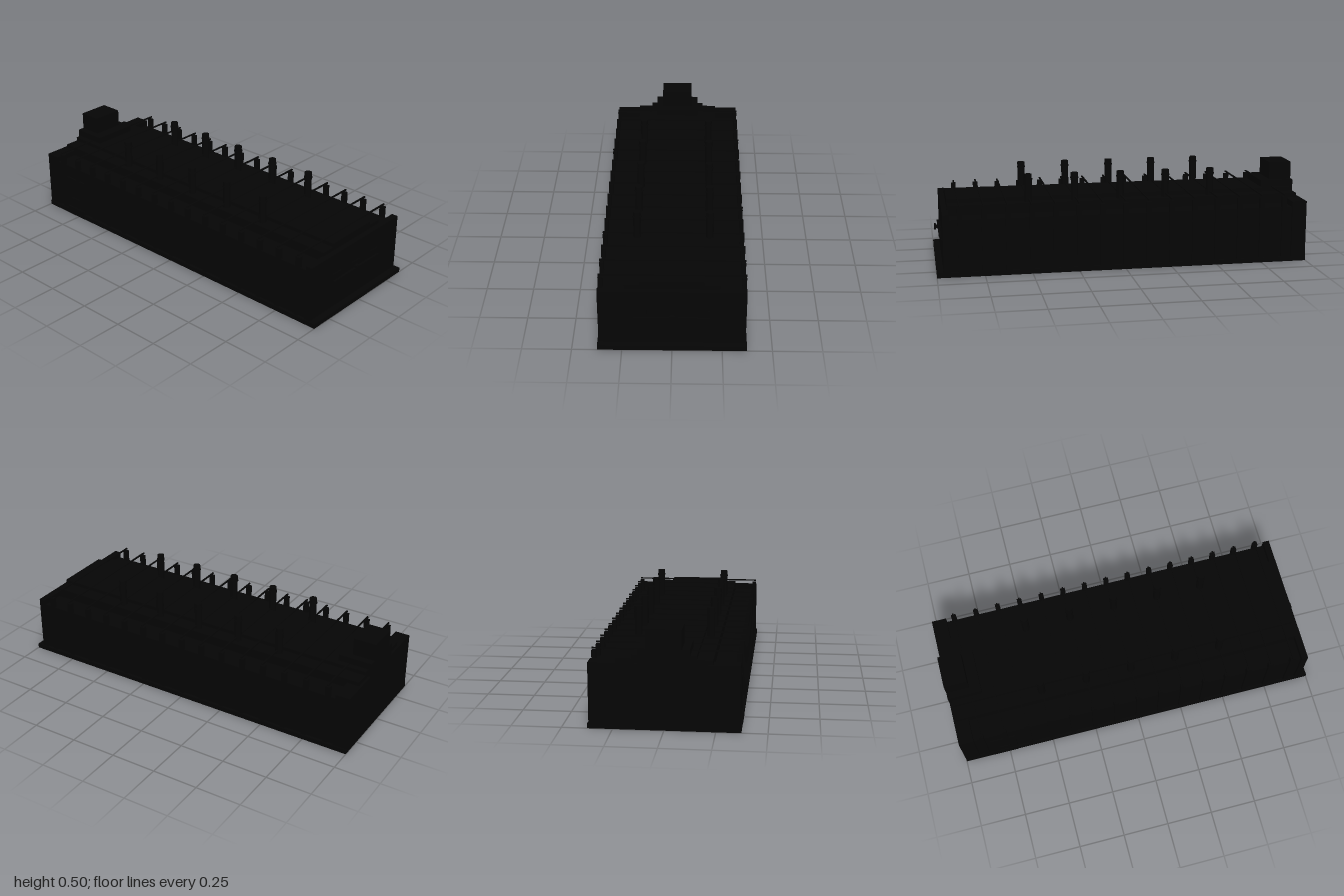
import * as THREE from 'three';

export function createModel() {
  const model = new THREE.Group();
  const black = new THREE.MeshStandardMaterial({ color: 0x050505 });
  black.name = 'black';

  // Box given by its limits on each axis
  const box = (name, x0, x1, y0, y1, z0, z1) => {
    const m = new THREE.Mesh(new THREE.BoxGeometry(x1 - x0, y1 - y0, z1 - z0), black);
    m.position.set((x0 + x1) / 2, (y0 + y1) / 2, (z0 + z1) / 2);
    m.name = name;
    model.add(m);
    return m;
  };
  const cylinder = (name, r, y0, y1, x, z) => {
    const m = new THREE.Mesh(new THREE.CylinderGeometry(r, r, y1 - y0, 16), black);
    m.position.set(x, (y0 + y1) / 2, z);
    m.name = name;
    model.add(m);
  };

  // Base slab, hall and end walls
  box('baseSlab', -1, 1, 0, 0.025, -0.373, 0.373);
  box('hall', -0.995, 0.955, 0.025, 0.3, -0.357, 0.357);
  box('rightEndWall', 0.93, 0.965, 0.025, 0.33, -0.367, 0.367);
  box('leftEndWall', -1, -0.92, 0.025, 0.33, -0.367, 0.367);

  // Stepped roof
  box('lowerRoof', -0.985, 0.935, 0.3, 0.35, -0.235, 0.235);
  box('upperRoof', -0.985, 0.935, 0.35, 0.37, -0.157, 0.157);

  // Stepped tower at one end
  box('towerBase', -1, -0.815, 0.3, 0.405, -0.125, 0.125);
  box('tower', -1, -0.875, 0.405, 0.5, -0.087, 0.087);

  // Buttresses along both sides, with a tie rod over each pair
  for (let i = -7; i <= 7; i++) {
    const x = i * 0.125;
    for (const s of [-1, 1]) {
      const z = s * 0.356;
      box('buttress', x - 0.013, x + 0.013, 0.025, 0.36, z - 0.011, z + 0.011);
    }
    box('tieRod', x - 0.004, x + 0.004, 0.367, 0.374, -0.367, 0.367);
  }

  // Two rows of chimneys
  for (let i = -2; i <= 2; i++) {
    for (const s of [-1, 1]) {
      cylinder('chimney', 0.02, 0.34, 0.5, i * 0.25, s * 0.188);
      cylinder('chimneyRing', 0.023, 0.469, 0.476, i * 0.25, s * 0.188);
    }
  }

  // Door, handle and step on the front
  box('door', -0.84, -0.7, 0.025, 0.23, 0.35, 0.366);
  box('doorHandle', -0.8, -0.74, 0.095, 0.11, 0.36, 0.374);
  box('doorStep', -0.84, -0.7, 0, 0.047, 0.35, 0.374);

  // Plates, rail and hub on the right end wall
  for (const z of [-0.157, 0, 0.157]) {
    box('endPlate', 0.96, 0.97, 0.157, 0.22, z - 0.031, z + 0.031);
  }
  box('endRail', 0.968, 0.98, 0.175, 0.184, -0.19, 0.19);
  box('hubStem', 0.968, 0.995, 0.184, 0.197, -0.012, 0.012);
  box('hubCap', 0.99, 1, 0.175, 0.206, -0.015, 0.015);

  return model;
}
